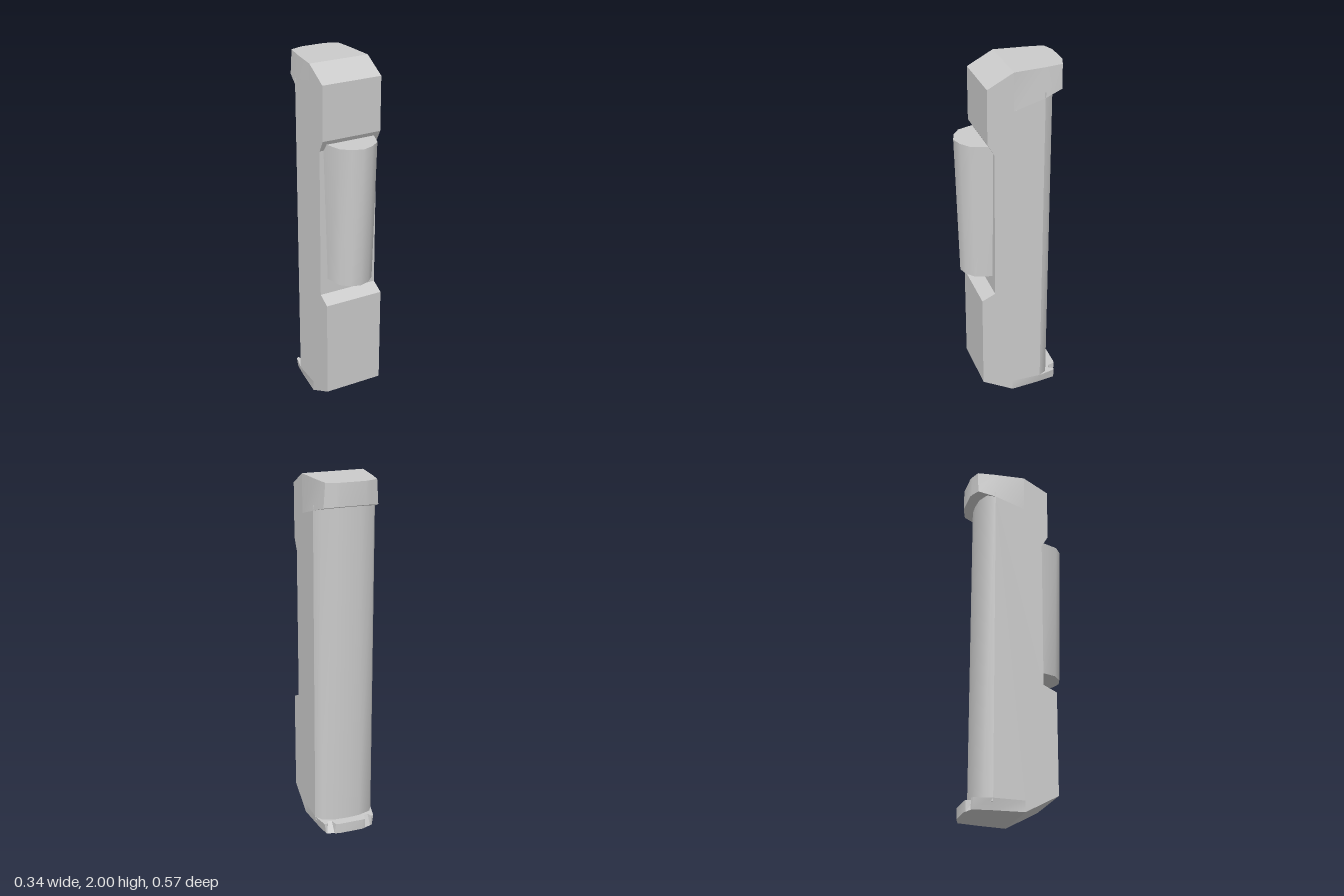
import * as THREE from 'three';
import { toCreasedNormals } from 'three/addons/utils/BufferGeometryUtils.js';

const material = new THREE.MeshStandardMaterial({ color: 0xcccccc });

function part(name, geometry, crease) {
  const mesh = new THREE.Mesh(toCreasedNormals(geometry, crease), material);
  mesh.name = name;
  return mesh;
}

// Closed solid between two half outlines of [x, y, z], each mirrored across x = 0
function loft(lowerHalf, upperHalf) {
  const mirror = half => [...half, ...half.filter(p => p[0] !== 0).reverse().map(([x, y, z]) => [-x, y, z])];
  const lower = mirror(lowerHalf), upper = mirror(upperHalf), n = lower.length;
  const index = [];
  for (let i = 0; i < n; i++) {
    const j = (i + 1) % n;
    index.push(i, j, n + j, i, n + j, n + i);
  }
  const flat = loop => loop.map(p => new THREE.Vector2(p[0], -p[2]));
  for (const [a, b, c] of THREE.ShapeUtils.triangulateShape(flat(lower), [])) index.push(a, c, b);
  for (const [a, b, c] of THREE.ShapeUtils.triangulateShape(flat(upper), [])) index.push(n + a, n + b, n + c);
  const geometry = new THREE.BufferGeometry();
  geometry.setAttribute('position', new THREE.Float32BufferAttribute([...lower, ...upper].flat(), 3));
  geometry.setIndex(index);
  return geometry;
}

const at = (y, points) => points.map(([x, z]) => [x, y, z]);

export function createModel() {
  const group = new THREE.Group();

  // Main body: side profile in (z, y), extruded across the width
  const profile = [
    [0.01, 0], [0.19, 0.1], [0.19, 0.67], [0.115, 0.705], [0.115, 1.56], [0.152, 1.625],
    [0.152, 1.925], [0.01, 2], [0.01, 1.79], [-0.16, 1.84], [-0.16, 0.06], [0.01, 0.06],
  ].map(([z, y]) => new THREE.Vector2(-z, y));
  const body = new THREE.ExtrudeGeometry(new THREE.Shape(profile), { depth: 0.34, bevelEnabled: false });
  body.translate(0, 0, -0.17).rotateY(Math.PI / 2);
  group.add(part('body', body, 0.3));

  // Rounded column down the back
  const columnOutline = [[0.17, -0.16], [0.145, -0.205], [0.07, -0.23], [0, -0.234]];
  group.add(part('backColumn', loft(at(0.04, columnOutline), at(1.87, columnOutline)), 0.85));

  // Overhanging top cap: sloped underside, sides leaning in toward the top
  const capLower = [[0.17, 0.01], [0.17, -0.16], [0.148, -0.258], [0.09, -0.28], [0.07, -0.285]]
    .map(([x, z]) => [x, 1.84 - (z + 0.16) * 0.3, z]);
  const capUpper = at(2, [[0.17, 0.01], [0.154, -0.16], [0.139, -0.26], [0.09, -0.278], [0.07, -0.285]]);
  group.add(part('topCap', loft(capLower, capUpper), 0.6));

  // Bottom lip with a sloped notch at each back corner
  const lipLower = at(0, [
    [0.17, 0.01], [0.154, -0.16], [0.139, -0.26], [0.132, -0.263], [0.126, -0.265],
    [0.095, -0.276], [0.088, -0.279], [0.07, -0.285],
  ]);
  const lipUpper = at(0.06, [
    [0.17, 0.01], [0.17, -0.16], [0.148, -0.258], [0.135, -0.264], [0.122, -0.235],
    [0.098, -0.24], [0.088, -0.281], [0.07, -0.285],
  ]);
  group.add(part('bottomLip', loft(lipLower, lipUpper), 0.4));

  // Tapered rounded grip on the front
  const gripLower = at(0.795, [[-0.126, 0.1], [-0.126, 0.115], [-0.1, 0.207], [-0.055, 0.248], [0, 0.264]]);
  const gripUpper = at(1.6, [[-0.152, 0.1], [-0.148, 0.115], [-0.111, 0.225], [-0.06, 0.265], [0, 0.284]]);
  group.add(part('frontGrip', loft(gripLower, gripUpper), 0.7));

  return group;
}
